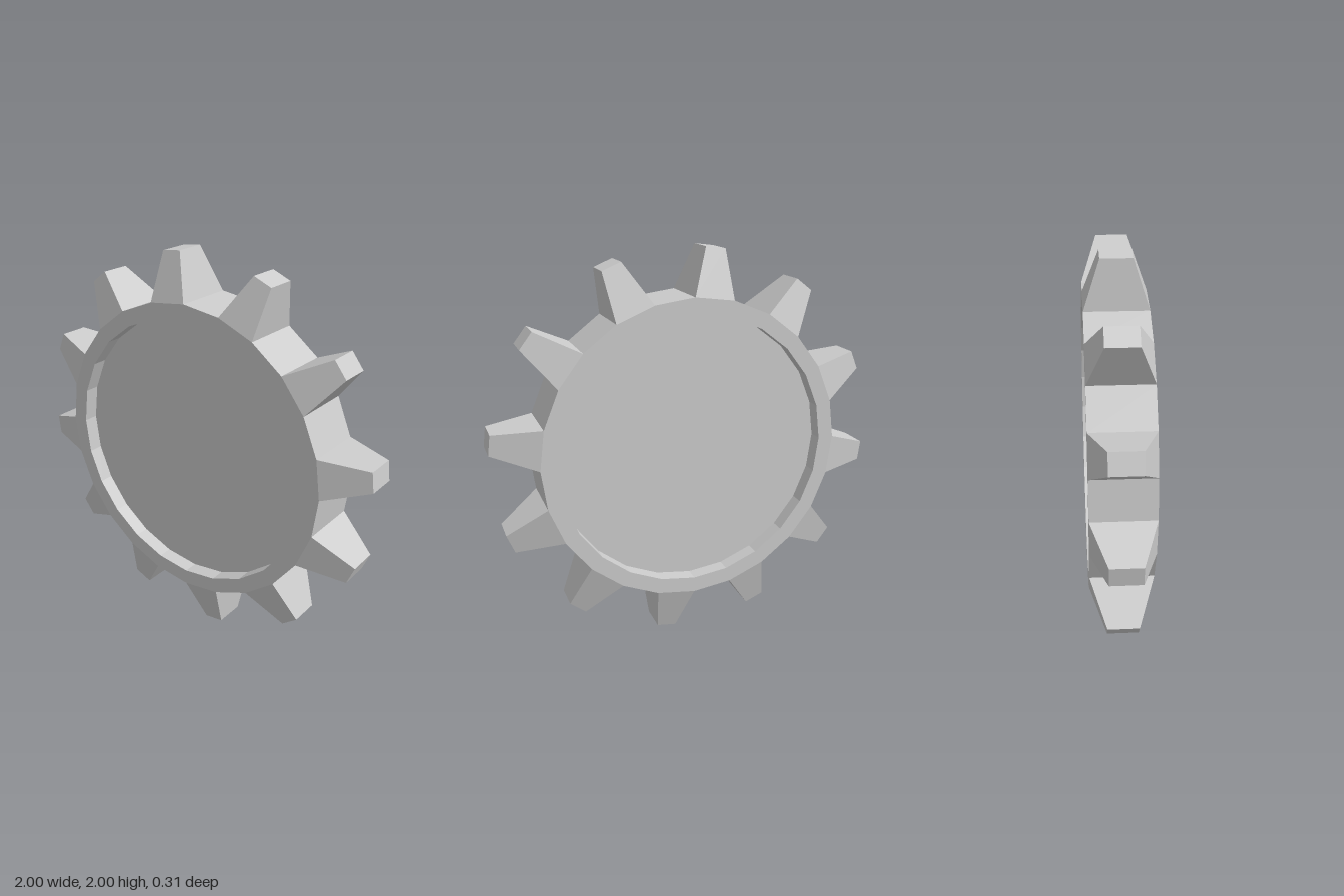
import * as THREE from 'three';

const SIDES = 24;          // facets around the rim, a tooth on every other one
const RIM = 0.775;         // outer rim radius
const RECESS = 0.695;      // radius of the sunken discs
const HALF = 0.154;        // half thickness at the rim
const FLOOR = 0.077;       // half thickness at the sunken discs
const TIP = 1.002;         // distance of the tooth tips from the axle

const material = new THREE.MeshStandardMaterial({ color: 0xcccccc, flatShading: true });

// Faceted wheel with a sunken disc on each side
function makeWheelBody() {
  const profile = [
    [0, -FLOOR], [RECESS, -FLOOR], [RECESS, -HALF], [RIM, -HALF],
    [RIM, HALF], [RECESS, HALF], [RECESS, FLOOR], [0, FLOOR],
  ].map(([r, y]) => new THREE.Vector2(r, y));
  const geometry = new THREE.LatheGeometry(profile, SIDES);
  geometry.rotateX(Math.PI / 2);
  const mesh = new THREE.Mesh(geometry, material);
  mesh.name = 'wheelBody';
  return mesh;
}

// Tooth: a box standing on one rim facet, narrowed to half size at the tip
function makeToothGeometry() {
  const half = Math.PI / SIDES;
  const root = RIM * Math.cos(half);
  const geometry = new THREE.BoxGeometry(2 * RIM * Math.sin(half), TIP - root, 2 * HALF);
  geometry.translate(0, (TIP + root) / 2, 0);
  const p = geometry.attributes.position;
  for (let i = 0; i < p.count; i++) {
    if (p.getY(i) > (TIP + root) / 2) {
      p.setX(i, p.getX(i) * 0.5);
      p.setZ(i, p.getZ(i) * 0.5);
    }
  }
  geometry.computeVertexNormals();
  return geometry;
}

export function createModel() {
  const model = new THREE.Group();
  model.name = 'gearWheel';

  const wheel = new THREE.Group();
  wheel.name = 'wheel';
  wheel.position.y = 1;
  wheel.add(makeWheelBody());

  // Ring of teeth
  const toothGeometry = makeToothGeometry();
  for (let i = 0; i < SIDES / 2; i++) {
    const tooth = new THREE.Mesh(toothGeometry, material);
    tooth.name = `tooth${i + 1}`;
    tooth.rotation.z = ((2 * i + 0.5) * 2 * Math.PI) / SIDES;
    wheel.add(tooth);
  }

  model.add(wheel);
  return model;
}
